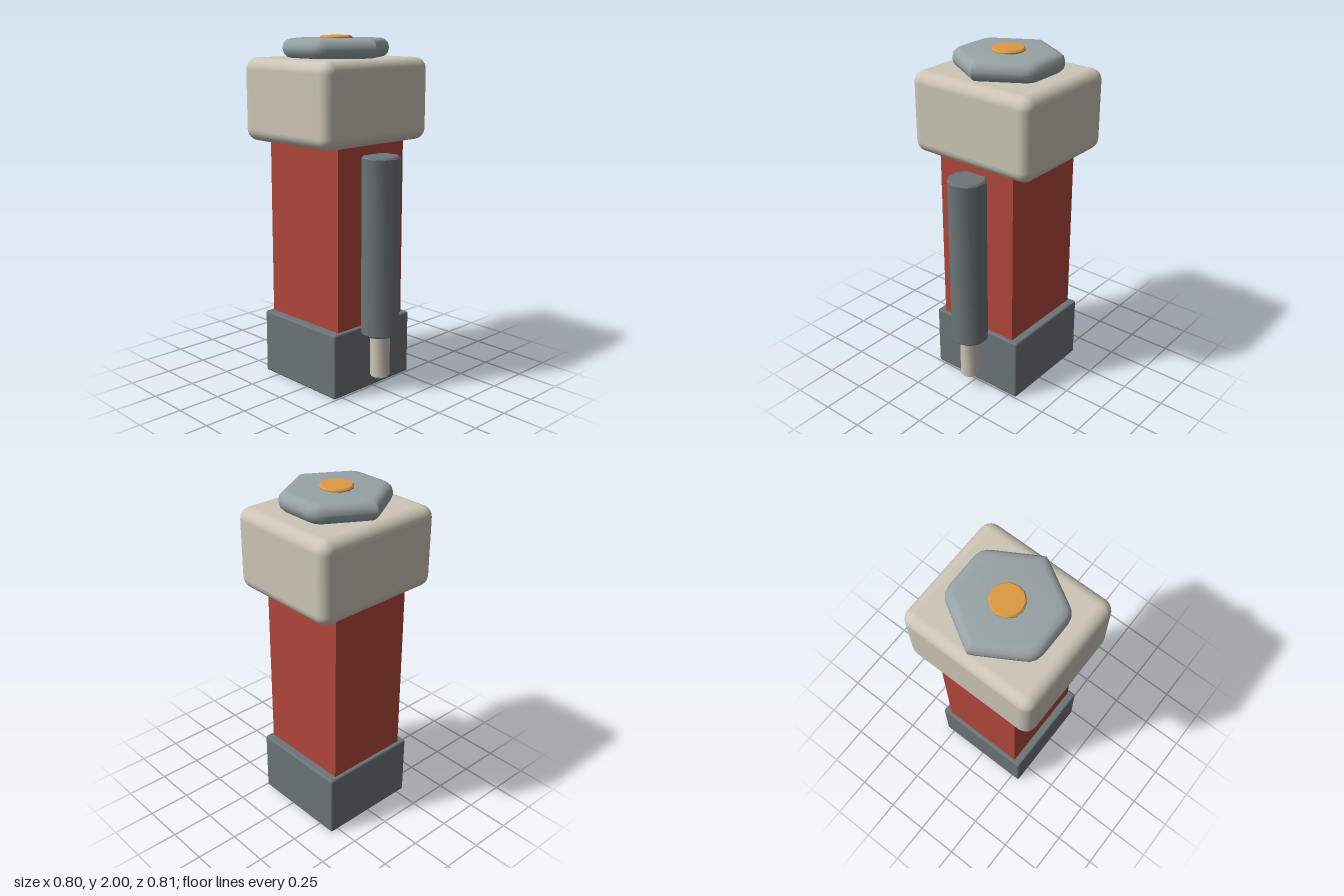
import * as THREE from 'three';
import { toCreasedNormals } from 'three/addons/utils/BufferGeometryUtils.js';
import { RoundedBoxGeometry } from 'three/addons/geometries/RoundedBoxGeometry.js';

const AXIS_Z = -0.056; // centre line of the main column

export function createModel() {
  const model = new THREE.Group();
  const material = (name, color) => {
    const m = new THREE.MeshStandardMaterial({ color });
    m.name = name;
    return m;
  };
  const red = material('red', 0xb2473b);
  const darkGrey = material('dark grey', 0x6c7578);
  const cream = material('cream', 0xcdc6b8);
  const steel = material('light steel', 0x98a3a6);
  const orange = material('orange', 0xdb9a42);

  const add = (name, geometry, mat, y, z) => {
    const mesh = new THREE.Mesh(geometry, mat);
    mesh.name = name;
    mesh.position.set(0, y, z);
    model.add(mesh);
  };

  // Upright faceted rod with bevelled rims, standing on y = 0
  const rod = (radius, height, bevel, sides) => {
    const profile = [
      [0, 0], [radius - bevel, 0], [radius, bevel],
      [radius, height - bevel], [radius - bevel, height], [0, height],
    ].map(([x, y]) => new THREE.Vector2(x, y));
    return toCreasedNormals(new THREE.LatheGeometry(profile, sides), 0.7);
  };

  // Column: foot, shaft and rounded head
  add('base', new RoundedBoxGeometry(0.606, 0.37, 0.604, 2, 0.012), darkGrey, 0.192, AXIS_Z);
  add('shaft', new THREE.BoxGeometry(0.512, 1.06, 0.56), red, 0.9, AXIS_Z);
  add('head', new RoundedBoxGeometry(0.8, 0.466, 0.704, 3, 0.066), cream, 1.647, AXIS_Z);

  // Six-sided cap with softened corners, pointing to the front and back
  const quarter = [[0.285, 0.1], [0.276, 0.135], [0.256, 0.162], [0.229, 0.18], [0.03, 0.297], [0, 0.312]];
  const half = [...quarter, ...quarter.slice(0, -1).reverse().map(([x, y]) => [-x, y])];
  const outline = [...half, ...half.map(([x, y]) => [-x, -y])];
  const capShape = new THREE.Shape(outline.map(([x, y]) => new THREE.Vector2(x, y)));
  const cap = new THREE.ExtrudeGeometry(capShape, {
    depth: 0.011, bevelThickness: 0.048, bevelSize: 0.048, bevelOffset: -0.048, bevelSegments: 3,
  });
  cap.rotateX(-Math.PI / 2);
  add('hexCap', toCreasedNormals(cap, 0.75), steel, 1.927, AXIS_Z);

  // Button on the cap
  add('button', rod(0.093, 0.04, 0.008, 12), orange, 1.961, AXIS_Z - 0.002);

  // Handle and its peg on the front
  add('handle', rod(0.11, 1.025, 0.01, 10), darkGrey, 0.336, 0.297);
  add('peg', rod(0.057, 0.3, 0.006, 10), cream, 0.08, 0.303);

  // Stand the foot on the ground
  model.children[0].position.y = 0.19;
  model.children[0].scale.y = 0.38 / 0.37;
  return model;
}
